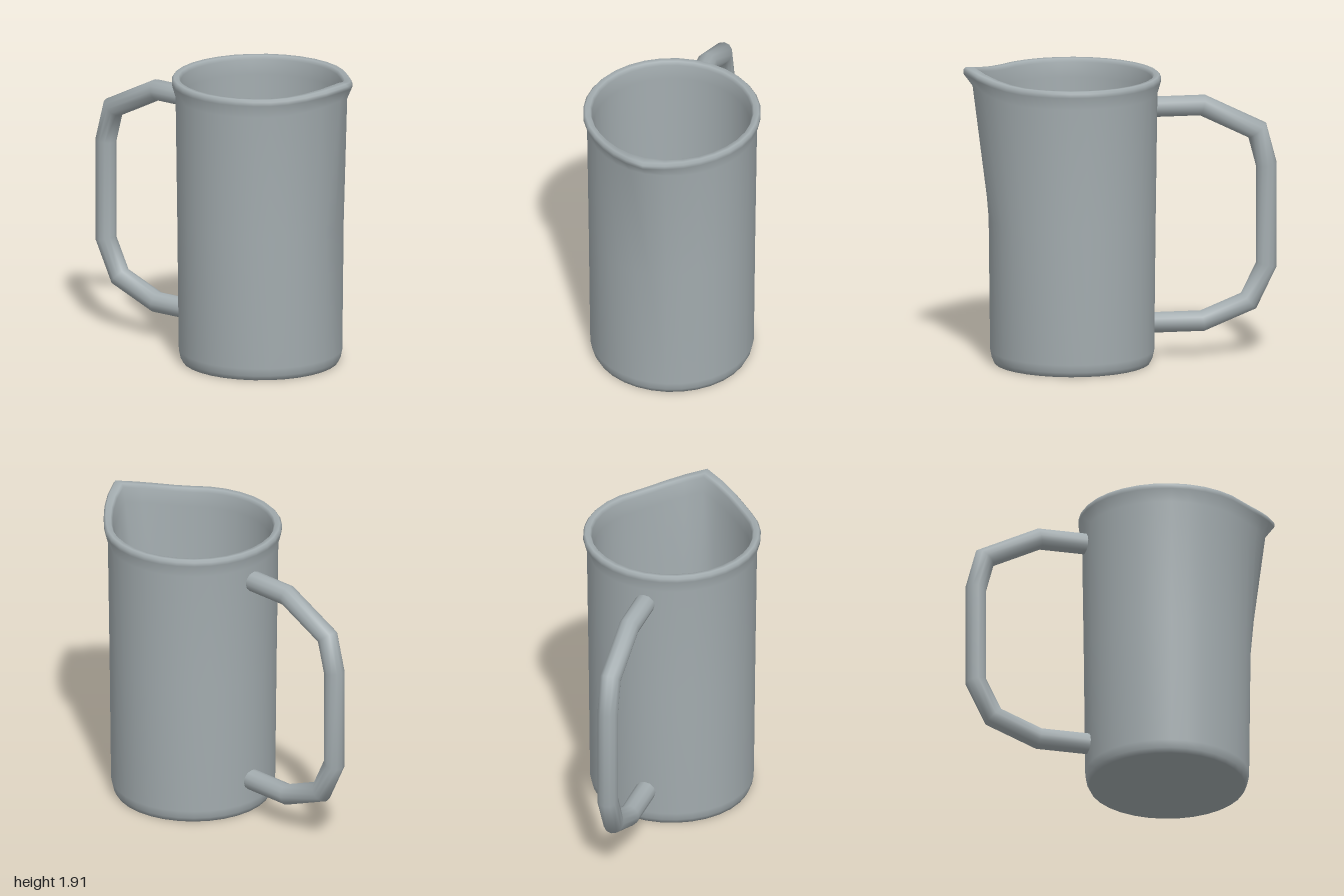
import * as THREE from 'three';
import { mergeVertices } from 'three/addons/utils/BufferGeometryUtils.js';

const AXIS_Z = 0.305; // centre line of the jug body

// weld seams and shade smoothly
function smooth(geometry) {
  geometry.deleteAttribute('uv');
  geometry.deleteAttribute('normal');
  const welded = mergeVertices(geometry, 1e-4);
  welded.computeVertexNormals();
  return welded;
}

// lathed cup, with the front of the rim pulled out and up into a spout
function bodyGeometry() {
  const profile = [
    [0, 0], [0.3, 0], [0.49, 0], [0.505, 0.03], [0.515, 0.08], [0.524, 0.92], [0.535, 1.72],
    [0.558, 1.8], [0.558, 1.825], [0.545, 1.84], [0.515, 1.838], [0.502, 1.815],
    [0.495, 1.72], [0.485, 0.92], [0.475, 0.12], [0.45, 0.07], [0.3, 0.05], [0, 0.05],
  ].map(([r, y]) => new THREE.Vector2(r, y));
  const g = new THREE.LatheGeometry(profile, 32);
  const p = g.attributes.position;
  for (let i = 0; i < p.count; i++) {
    const x = p.getX(i), y = p.getY(i), z = p.getZ(i);
    const r = Math.hypot(x, z);
    if (r > 0.4 && y > 0.92) {
      const angle = Math.abs(Math.atan2(x, z));
      const w = Math.pow(Math.max(0, 1 - angle / (Math.PI / 4)), 1.7);
      const rise = Math.min(1, (y - 0.92) / 0.8);
      const lip = THREE.MathUtils.clamp((y - 1.72) / 0.08, 0, 1);
      const outer = r > 0.53 ? 1 : 0.3;
      const k = (r + w * (0.1 * rise + 0.036 * lip * outer)) / r;
      p.setXYZ(i, x * k, y + 0.07 * w * rise, z * k);
    }
  }
  return smooth(g);
}

// round bar with mitred bends along a path of [z, y] points
function handleGeometry() {
  const path = [
    [-0.205, 0.232], [-0.525, 0.232], [-0.82, 0.35], [-0.933, 0.58],
    [-0.933, 1.22], [-0.875, 1.44], [-0.525, 1.613], [-0.205, 1.613],
  ].map(([z, y]) => new THREE.Vector2(z, y));
  const n = path.length - 1, radius = 0.066;
  const g = new THREE.CylinderGeometry(1, 1, n, 12, n, true);
  const p = g.attributes.position;
  const dir = (a, b) => path[b].clone().sub(path[a]).normalize();
  for (let i = 0; i < p.count; i++) {
    const k = Math.round(p.getY(i) + n / 2);
    const before = dir(Math.max(k - 1, 0), Math.max(k, 1));
    const after = dir(Math.min(k, n - 1), Math.min(k + 1, n));
    const t = before.clone().add(after).normalize();
    const s = p.getZ(i) * radius / t.dot(after);
    p.setXYZ(i, p.getX(i) * radius, path[k].y - t.x * s, path[k].x + t.y * s);
  }
  return smooth(g);
}

export function createModel() {
  const metal = new THREE.MeshStandardMaterial({ color: 0xa3acaf });
  metal.name = 'grey metal';

  const body = new THREE.Mesh(bodyGeometry(), metal);
  body.name = 'jugBody';
  body.position.z = AXIS_Z;

  const handle = new THREE.Mesh(handleGeometry(), metal);
  handle.name = 'handle';

  const group = new THREE.Group();
  group.name = 'jug';
  group.add(body, handle);
  return group;
}
